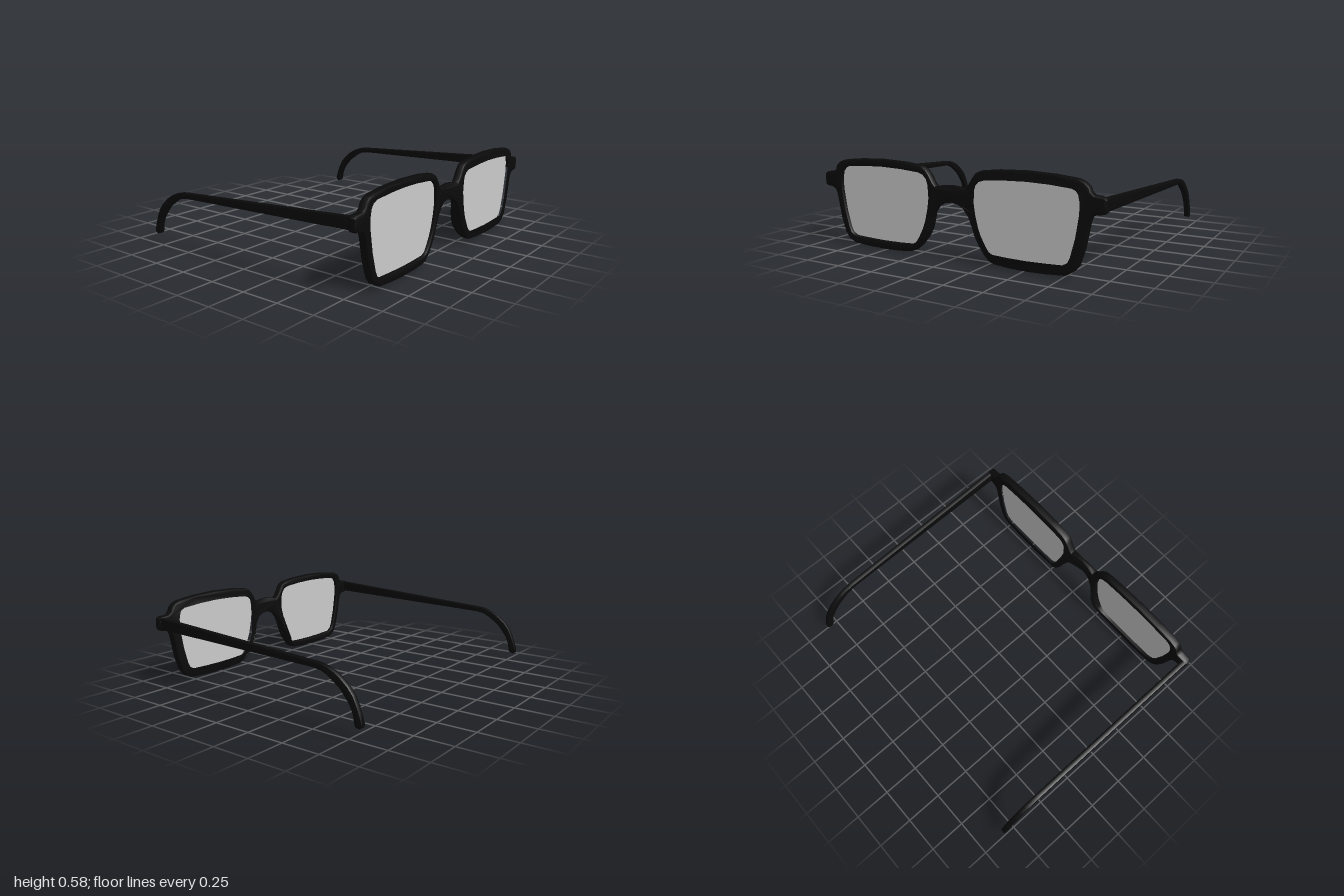
import * as THREE from 'three';
import { toCreasedNormals } from 'three/addons/utils/BufferGeometryUtils.js';

const FRONT_Z = 0.798; // middle of the front frame

const toPoints = (list) => list.map(([x, y]) => new THREE.Vector2(x, y));

// Extrusion centred on its depth, with softened edges that stay inside the outline
function bevelled(shape, depth, bevel) {
  const geometry = new THREE.ExtrudeGeometry(shape, {
    depth: depth - 2 * bevel, bevelEnabled: true, bevelThickness: bevel,
    bevelSize: bevel, bevelOffset: -bevel, bevelSegments: 2,
  });
  return geometry.translate(0, 0, bevel - depth / 2);
}

// Right half of the frame outline, from bridge top round to bridge underside
const OUTLINE = [
  [0, 0.46], [0.055, 0.455], [0.107, 0.445], [0.125, 0.465], [0.155, 0.515], [0.18, 0.545],
  [0.214, 0.562], [0.33, 0.576], [0.52, 0.583], [0.70, 0.576], [0.83, 0.562], [0.87, 0.547],
  [0.895, 0.525], [0.905, 0.498], [0.925, 0.48], [0.985, 0.474], [1, 0.462], [1, 0.395],
  [0.985, 0.382], [0.935, 0.375], [0.912, 0.36], [0.90, 0.325], [0.872, 0.18], [0.838, 0.08],
  [0.81, 0.045], [0.76, 0.017], [0.64, 0.008], [0.52, 0.005], [0.40, 0.008], [0.305, 0.017],
  [0.27, 0.03], [0.235, 0.065], [0.20, 0.115], [0.17, 0.17], [0.147, 0.235], [0.128, 0.28],
  [0.09, 0.325], [0.05, 0.346], [0, 0.354],
];

// Lens opening
const OPENING = [
  [0.165, 0.45], [0.176, 0.483], [0.20, 0.508], [0.24, 0.521], [0.38, 0.532], [0.52, 0.536],
  [0.66, 0.532], [0.80, 0.521], [0.83, 0.508], [0.847, 0.485], [0.857, 0.44], [0.856, 0.37],
  [0.834, 0.235], [0.803, 0.12], [0.785, 0.085], [0.75, 0.066], [0.64, 0.061], [0.52, 0.058],
  [0.40, 0.06], [0.295, 0.065], [0.265, 0.08], [0.24, 0.115], [0.21, 0.17], [0.19, 0.22],
  [0.17, 0.30], [0.16, 0.37],
];

// Side profile of a temple, as z and y
const TEMPLE = [
  [0.785, 0.469], [-0.51, 0.393], [-0.55, 0.389], [-0.595, 0.378], [-0.645, 0.357],
  [-0.69, 0.328], [-0.735, 0.29], [-0.77, 0.25], [-0.795, 0.2], [-0.813, 0.155], [-0.83, 0.10],
  [-0.828, 0.08], [-0.812, 0.07], [-0.787, 0.077], [-0.78, 0.09], [-0.77, 0.145],
  [-0.75, 0.19], [-0.72, 0.23], [-0.685, 0.27], [-0.64, 0.303], [-0.6, 0.33], [-0.555, 0.349],
  [-0.5, 0.357], [0.785, 0.393],
];

function frameGeometry() {
  const left = OUTLINE.slice(1, -1).reverse().map(([x, y]) => [-x, y]);
  const shape = new THREE.Shape(toPoints([...OUTLINE, ...left]));
  for (const side of [1, -1]) {
    shape.holes.push(new THREE.Path(toPoints(OPENING.map(([x, y]) => [side * x, y]))));
  }
  const geometry = bevelled(shape, 0.056, 0.012);
  const p = geometry.attributes.position;
  const smooth = THREE.MathUtils.smoothstep;
  for (let i = 0; i < p.count; i++) {
    const x = Math.abs(p.getX(i)), y = p.getY(i);
    // Thin the bridge towards its middle
    let z = p.getZ(i) * (0.5 + 0.5 * smooth(x, 0.02, 0.13));
    // Swell the back of the inner rims into nose pads
    if (z < 0) {
      z -= 0.029 * smooth(x, 0.1, 0.16) * (1 - smooth(x, 0.22, 0.29))
        * smooth(y, 0.01, 0.1) * (1 - smooth(y, 0.18, 0.37));
    }
    p.setZ(i, z);
  }
  return toCreasedNormals(geometry, 0.7);
}

export function createModel() {
  const model = new THREE.Group();
  const black = new THREE.MeshStandardMaterial({ color: 0x0a0a0a });
  const grey = new THREE.MeshStandardMaterial({ color: 0xcccccc });

  const add = (name, geometry, material, x, y, z) => {
    const mesh = new THREE.Mesh(geometry, material);
    mesh.name = name;
    mesh.position.set(x, y, z);
    model.add(mesh);
  };

  // Front frame with bridge, hinge ends and nose pads
  add('frontFrame', frameGeometry(), black, 0, 0, FRONT_Z);

  // Temples curving down behind the ears
  const temple = toCreasedNormals(
    bevelled(new THREE.Shape(toPoints(TEMPLE)), 0.036, 0.007).rotateY(-Math.PI / 2), 0.7);

  for (const [side, label] of [[1, 'left'], [-1, 'right']]) {
    // Lens reaches slightly into the rim
    const outline = OPENING.map(([x, y]) =>
      [side * (0.51 + (x - 0.51) * 1.02), 0.3 + (y - 0.3) * 1.02]);
    const lens = new THREE.ExtrudeGeometry(new THREE.Shape(toPoints(outline)),
      { depth: 0.01, bevelEnabled: false }).translate(0, 0, -0.005);
    add(label + 'Lens', lens, grey, 0, 0, FRONT_Z);
    add(label + 'Temple', temple, black, side * 0.978, 0, 0);
  }
  return model;
}
